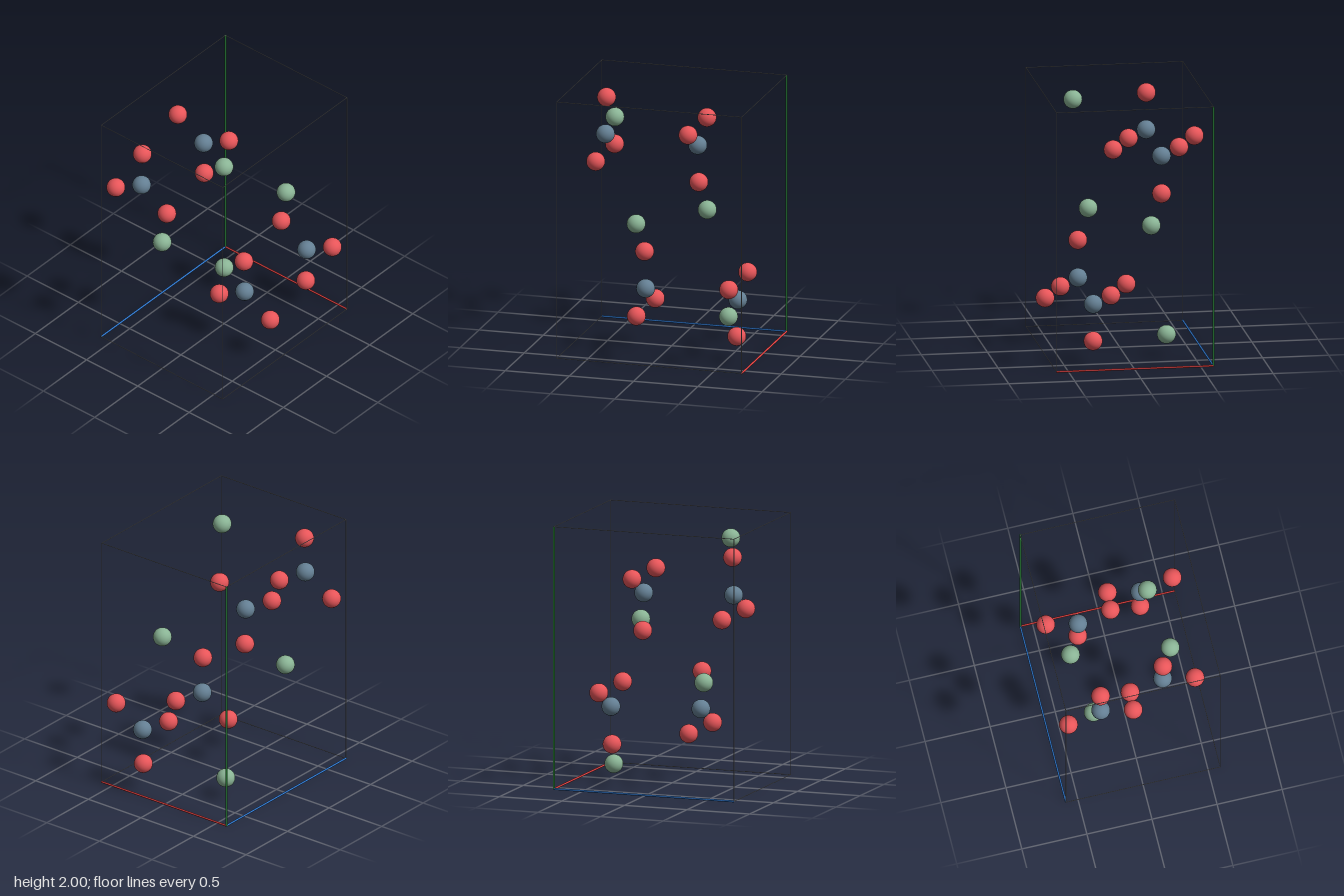
import * as THREE from 'three';

const mat = (name, color) => {
  const m = new THREE.MeshStandardMaterial({ color });
  m.name = name;
  return m;
};

export function createModel() {
  const model = new THREE.Group();
  const red = mat('atom red', 0xe9565a);
  const green = mat('atom sage green', 0x8ab495);
  const slate = mat('atom slate blue', 0x647f93);
  const edgeGrey = mat('edge grey', 0x909090);
  const axisRed = mat('axis red', 0xe04040);
  const axisGreen = mat('axis green', 0x2f9440);
  const axisBlue = mat('axis blue', 0x2f78d0);

  // Everything is placed relative to the cell centre
  const cell = new THREE.Group();
  cell.name = 'unitCell';
  cell.position.y = 1.0025;
  model.add(cell);

  // Atoms: each one has a partner mirrored through the cell centre
  const ball = new THREE.SphereGeometry(0.0705, 32, 20);
  const addPair = (name, material, x, y, z) => {
    for (const s of [1, -1]) {
      const atom = new THREE.Mesh(ball, material);
      atom.name = name;
      atom.position.set(s * x, s * y, s * z);
      cell.add(atom);
    }
  };
  const X = 0.297, DX = 0.249;
  addPair('redAtom', red, -X, 0.799, 0.595);
  addPair('redAtom', red, -X, 0.197, -0.123);
  for (const d of [-DX, DX]) {
    addPair('redAtom', red, -X + d, 0.63, -0.113);
    addPair('redAtom', red, -X + d, 0.367, 0.606);
  }
  addPair('greenAtom', green, X, 0.829, 0.354);
  addPair('greenAtom', green, X, 0.167, -0.365);
  addPair('slateAtom', slate, -X, 0.513, 0.604);
  addPair('slateAtom', slate, -X, 0.484, -0.115);

  // Cell frame: thin edges, with three thicker coloured axes from one corner
  const half = [0.593, 0.995, 0.72];
  const axes = [['axisX', axisRed], ['axisY', axisGreen], ['axisZ', axisBlue]];
  axes.forEach(([axisName, axisMat], i) => {
    const j = (i + 1) % 3, k = (i + 2) % 3;
    for (const a of [-1, 1]) for (const b of [-1, 1]) {
      const isAxis = a < 0 && b < 0;
      const r = isAxis ? 0.0075 : 0.0025;
      const rod = new THREE.Mesh(
        new THREE.CylinderGeometry(r, r, 2 * half[i], 12),
        isAxis ? axisMat : edgeGrey
      );
      rod.name = isAxis ? axisName : 'cellEdge';
      if (i === 0) rod.rotation.z = -Math.PI / 2;
      if (i === 2) rod.rotation.x = Math.PI / 2;
      rod.position.setComponent(j, a * half[j]);
      rod.position.setComponent(k, b * half[k]);
      cell.add(rod);
    }
  });

  return model;
}
